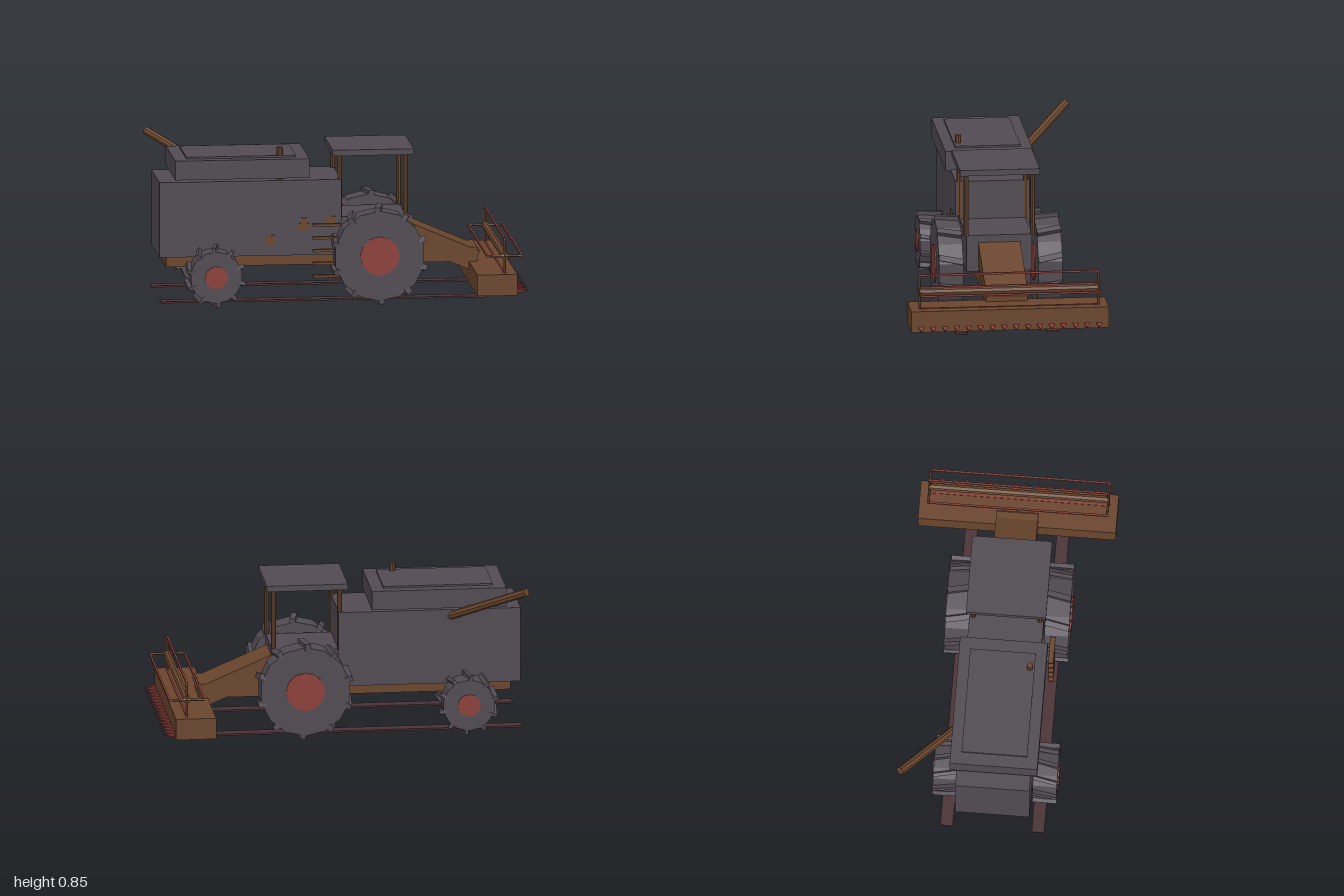
import * as THREE from 'three';

const flat = (name, color) => {
  const m = new THREE.MeshStandardMaterial({ color });
  m.name = name;
  return m;
};

export function createModel() {
  const model = new THREE.Group();
  model.name = 'combineHarvester';
  const grey = flat('slateGrey', 0x514a52);
  const brown = flat('rustBrown', 0x69452d);
  const red = flat('dullRed', 0x8b403b);
  const dark = flat('darkMaroon', 0x4b3236);

  const add = (name, geo, mat, parent = model) => {
    const mesh = new THREE.Mesh(geo.index ? geo.toNonIndexed() : geo, mat);
    mesh.geometry.computeVertexNormals(); // faceted look
    mesh.name = name;
    parent.add(mesh);
    return mesh;
  };
  // Box given by its limits on each axis
  const box = (name, mat, [x0, x1], [y0, y1], [z0, z1], parent) => {
    const m = add(name, new THREE.BoxGeometry(x1 - x0, y1 - y0, z1 - z0), mat, parent);
    m.position.set((x0 + x1) / 2, (y0 + y1) / 2, (z0 + z1) / 2);
    return m;
  };
  // Round bar between two points
  const bar = (name, mat, a, b, r, sides = 8, parent = model) => {
    const p = new THREE.Vector3(...a), q = new THREE.Vector3(...b);
    const m = add(name, new THREE.CylinderGeometry(r, r, p.distanceTo(q), sides), mat, parent);
    m.position.copy(p).add(q).multiplyScalar(0.5);
    m.quaternion.setFromUnitVectors(new THREE.Vector3(0, 1, 0), q.sub(p).normalize());
    return m;
  };

  // Body, grain hopper and chassis
  box('body', grey, [-0.985, 0.005], [0.255, 0.667], [-0.202, 0.202]);
  box('hopper', grey, [-0.903, -0.172], [0.685, 0.79], [-0.238, 0.238]);
  box('hopperLid', grey, [-0.835, -0.24], [0.79, 0.8], [-0.178, 0.178]);
  box('chassis', brown, [-0.94, 0.755], [0.187, 0.265], [-0.113, 0.113]);
  bar('exhaust', brown, [-0.325, 0.66, 0.153], [-0.325, 0.842, 0.153], 0.017);
  bar('unloadingAuger', brown, [-0.5, 0.573, -0.1], [-0.985, 0.832, -0.5], 0.023);

  // Cab platform, posts and roof
  box('cabPlatform', grey, [0, 0.362], [0.255, 0.457], [-0.178, 0.178]);
  box('cabRoof', grey, [-0.043, 0.398], [0.798, 0.83], [-0.217, 0.217]);
  for (const x of [-0.002, 0.357])
    for (const z of [-0.181, 0.181])
      bar('cabPost', brown, [x, 0.455, z], [x, 0.8, z], 0.013);

  // Sloping feeder house
  const feeder = add('feederHouse', new THREE.BoxGeometry(0.46, 0.115, 0.228), brown);
  feeder.position.set(0.535, 0.28, 0);
  feeder.rotation.z = -0.405;

  // Cutting header with pointed teeth
  box('header', brown, [0.708, 0.927], [0.07, 0.186], [-0.537, 0.537]);
  for (let i = 0; i < 16; i++) {
    const geo = new THREE.ConeGeometry(0.02, 0.07, 3, 1, false, Math.PI / 2).rotateZ(-Math.PI / 2);
    add('cutterTooth', geo, red).position.set(0.961, 0.09, 0.484 - i * 0.0645);
  }

  // Reel: hub, end spokes and four bats
  const reel = new THREE.Group();
  reel.name = 'reel';
  reel.position.set(0.863, 0.279, 0);
  model.add(reel);
  bar('reelHub', brown, [0, 0, -0.488], [0, 0, 0.488], 0.021, 8, reel);
  for (let i = 0; i < 4; i++) {
    const a = i * Math.PI / 2, c = Math.cos(a) * 0.094, s = Math.sin(a) * 0.094;
    box('reelBat', red, [c - 0.005, c + 0.005], [s - 0.005, s + 0.005], [-0.492, 0.492], reel);
    for (const z of [-0.485, 0.485])
      bar('reelSpoke', brown, [0, 0, z], [c, s, z], 0.007, 6, reel);
  }

  // Wheels with skewed lugs, mirrored from side to side
  const wheel = (name, x, tip, tyreR, hubR, side) => {
    const g = new THREE.Group();
    g.name = name;
    g.position.set(x, tip, side * 0.27);
    model.add(g);
    add('tyre', new THREE.CylinderGeometry(tyreR, tyreR, 0.132, 14).rotateX(Math.PI / 2), grey, g);
    add('hub', new THREE.CylinderGeometry(hubR, hubR, 0.146, 12).rotateX(Math.PI / 2), red, g);
    const depth = tip - tyreR + 0.02;
    for (let i = 0; i < 10; i++) {
      const lug = new THREE.BoxGeometry(tip * 0.12, depth, 0.134);
      lug.rotateY(-side * 0.2).translate(0, tip - depth / 2, 0).rotateZ(i * Math.PI / 5);
      add('lug', lug, grey, g);
    }
  };
  for (const side of [-1, 1]) {
    wheel('frontWheel', 0.2, 0.265, 0.247, 0.107, side);
    wheel('rearWheel', -0.69, 0.163, 0.142, 0.062, side);
    // Flat ground strip under each row of wheels
    const z = side * 0.248;
    box('groundStrip', dark, [-0.985, 0.793], [0.018, 0.027], [z - 0.034, z + 0.034]);
  }

  // Steps and side fittings
  for (let i = 0; i < 5; i++) {
    const y = 0.146 + i * 0.0705;
    box('step', brown, [-0.157, -0.005], [y - 0.007, y + 0.007], [0.238, 0.266]);
  }
  box('sidePanel', brown, [-0.412, -0.36], [0.315, 0.367], [0.2, 0.209]);
  box('sidePanel', brown, [-0.232, -0.172], [0.39, 0.43], [0.2, 0.209]);
  box('sidePanel', brown, [-0.215, -0.182], [0.43, 0.46], [0.2, 0.209]);
  box('sidePanel', brown, [-0.085, -0.025], [0.42, 0.465], [0.2, 0.209]);

  return model;
}
